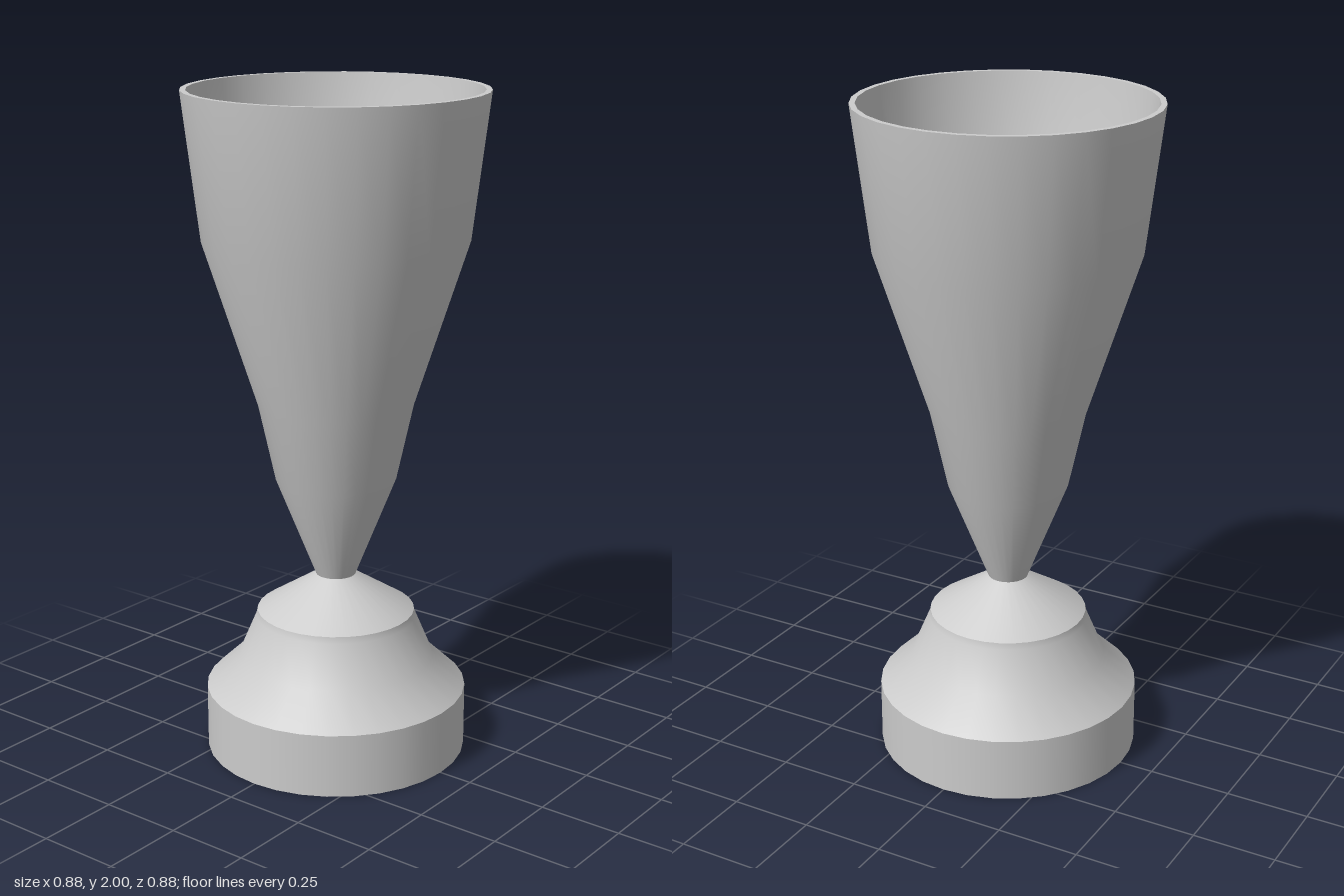
import * as THREE from 'three';

const SEGMENTS = 32;

export function createModel() {
  const group = new THREE.Group();
  group.name = 'trophyCup';
  const material = new THREE.MeshStandardMaterial({ color: 0xcccccc });

  // Each profile is turned separately, so edges between profiles stay sharp.
  const turn = (name, profile) => {
    const points = profile.map(([r, y]) => new THREE.Vector2(r, y));
    const mesh = new THREE.Mesh(new THREE.LatheGeometry(points, SEGMENTS), material);
    mesh.name = name;
    group.add(mesh);
  };

  // Pedestal
  turn('baseUnderside', [[0, 0], [0.395, 0]]);
  turn('basePlinth', [[0.395, 0], [0.395, 0.193]]);
  turn('baseFlare', [[0.395, 0.193], [0.296, 0.287], [0.242, 0.415], [0.238, 0.435]]);
  turn('baseShoulder', [[0.238, 0.435], [0.06, 0.548]]);

  // Cup: outer wall, rim, inner wall and floor
  turn('cupOuterWall', [[0.06, 0.548], [0.18, 0.85], [0.23, 1.08], [0.388, 1.57], [0.44, 2]]);
  turn('cupRim', [[0.44, 2], [0.423, 2]]);
  turn('cupInnerWall', [[0.423, 2], [0.37, 1.57], [0.212, 1.08], [0.162, 0.85], [0.1, 0.7]]);
  turn('cupFloor', [[0.1, 0.7], [0, 0.7]]);

  return group;
}
